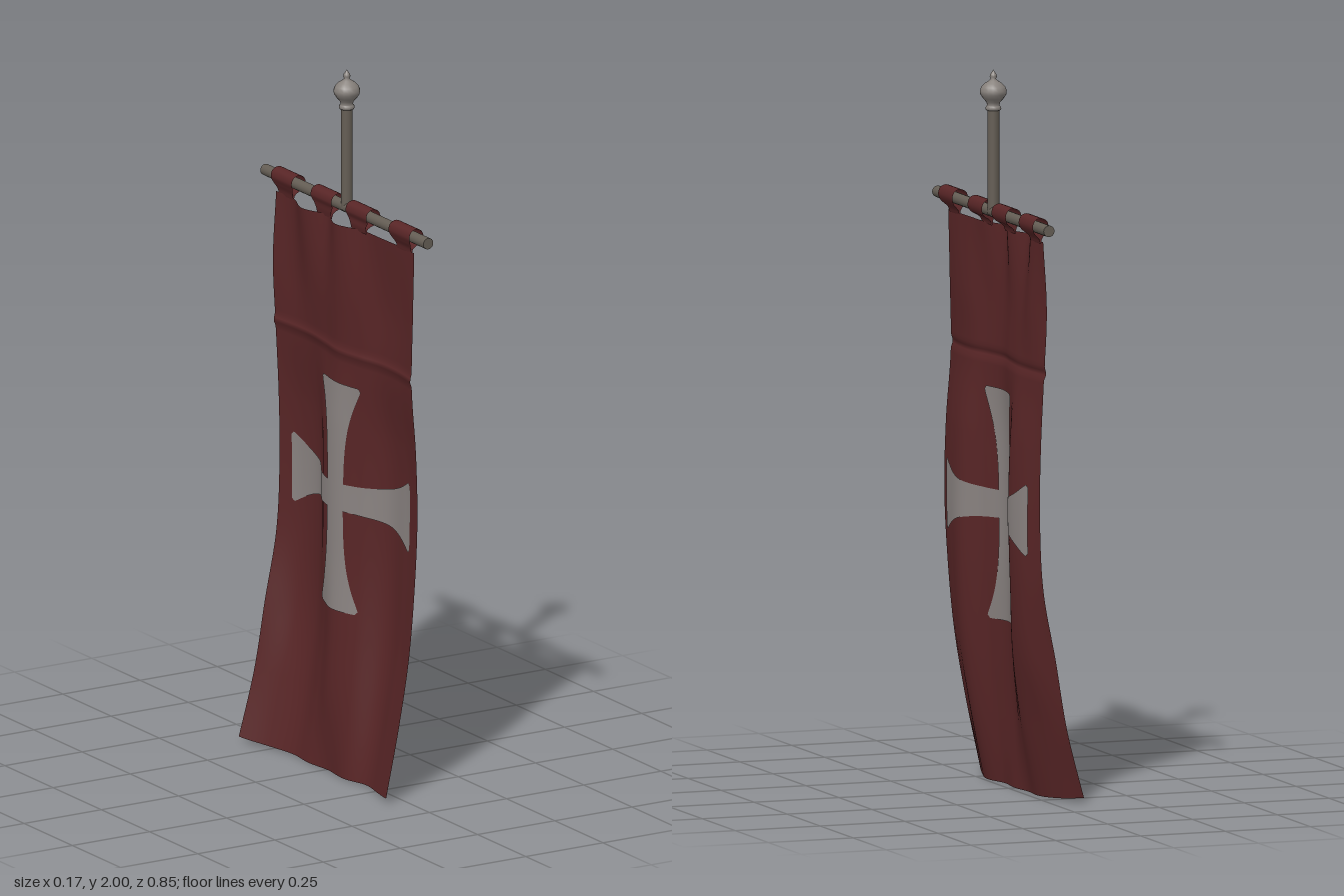
import * as THREE from 'three';
import { ParametricGeometry } from 'three/addons/geometries/ParametricGeometry.js';

const ROD_X = 0.045, ROD_Y = 1.607;

// Depth of the cloth folds: rows run from hem to top, columns from -z to +z
const FOLDS = [
  [-0.085, -0.045, -0.022, -0.028, -0.020, -0.028, -0.010, -0.030, -0.058],
  [-0.037, 0.000, 0.020, 0.000, -0.022, -0.010, 0.030, 0.010, -0.015],
  [-0.005, 0.045, 0.050, 0.020, -0.010, 0.010, 0.058, 0.045, 0.020],
  [0.030, 0.065, 0.060, 0.020, 0.000, 0.025, 0.070, 0.060, 0.040],
  [0.040, 0.068, 0.065, 0.020, 0.003, 0.030, 0.070, 0.066, 0.050],
  [0.038, 0.060, 0.060, 0.022, 0.006, 0.030, 0.064, 0.062, 0.045],
  [0.030, 0.038, 0.040, 0.028, 0.015, 0.025, 0.042, 0.042, 0.030],
  [0.022, 0.038, 0.025, 0.022, 0.010, 0.022, 0.045, 0.045, 0.032],
  [0.033, 0.035, 0.006, 0.033, 0.003, 0.032, 0.036, 0.038, 0.036],
];
const Y0 = 0.012, Y1 = 1.566, Z0 = -0.347, Z1 = 0.364;

// Smooth interpolation through evenly spaced values
function spline(values, t) {
  const n = values.length - 1;
  const f = THREE.MathUtils.clamp(t, 0, 1) * n;
  const i = Math.min(Math.floor(f), n - 1), k = f - i;
  const b = values[i], c = values[i + 1];
  const a = i > 0 ? values[i - 1] : 2 * b - c;
  const d = i < n - 1 ? values[i + 2] : 2 * c - b;
  return b + 0.5 * k * (c - a + k * (2 * a - 5 * b + 4 * c - d + k * (3 * (b - c) + d - a)));
}

function clothX(y, z) {
  const u = (z - Z0) / (Z1 - Z0), v = (y - Y0) / (Y1 - Y0);
  const seam = 0.006 * Math.exp(-(((y - 1.2) / 0.012) ** 2));
  return spline(FOLDS.map((row) => spline(row, u)), v) - seam;
}

export function createModel() {
  const model = new THREE.Group();
  model.name = 'hangingBanner';
  const material = (name, color, side = THREE.FrontSide) => {
    const m = new THREE.MeshStandardMaterial({ color, side });
    m.name = name;
    return m;
  };
  const red = material('darkRedCloth', 0x582526, THREE.DoubleSide);
  const grey = material('paleGreyCloth', 0x8a8381, THREE.DoubleSide);
  const wood = material('greyBrownPole', 0x645d54);
  const metal = material('paleMetal', 0x86807b);

  const add = (name, geometry, mat, parent = model) => {
    const mesh = new THREE.Mesh(geometry, mat);
    mesh.name = name;
    parent.add(mesh);
    return mesh;
  };

  // Folded cloth with a gently curved hem
  add('bannerCloth', new ParametricGeometry((u, v, p) => {
    const y = Y0 + v * (Y1 - Y0);
    const z = Z0 + u * (Z1 - Z0);
    const edge = (2 * u - 1) ** 4 * (1 - v) ** 6;
    const waist = (2 * u - 1) * (0.005 * (1 - v) ** 8 - 0.006 * Math.sin(v * Math.PI) ** 2);
    p.set(clothX(y, z), y - 0.008 * (1 - v) ** 6 + 0.016 * edge, z + waist);
  }, 72, 130), red);

  // Flared cross following the folds, on both faces of the cloth
  const CY = 0.788, CZ = 0.003;
  const flare = [0.038, 0.039, 0.041, 0.046, 0.056, 0.074, 0.1];
  const halfWidth = (t) => (t > 0.97 ? 0.1 - (t - 0.97) * 0.3 : spline(flare, t / 0.97));
  const cross = new THREE.Group();
  cross.name = 'crossEmblem';
  model.add(cross);
  const strip = (name, from, to, length, upright, offset) => {
    add(name, new ParametricGeometry((u, v, p) => {
      const t = from + v * (to - from);
      const along = t * length, across = (2 * u - 1) * halfWidth(Math.abs(t));
      const y = CY + (upright ? along : across);
      const z = CZ + (upright ? across : along);
      p.set(clothX(y, z) + offset, y, z);
    }, 16, 70), grey, cross);
  };
  for (const offset of [-0.003, 0.003]) {
    strip('crossUpright', -1, 1, 0.323, true, offset);
    strip('crossArmLeftward', 0.1, 1, 0.302, false, offset);
    strip('crossArmRightward', -0.1, -1, 0.302, false, offset);
  }

  // Cloth tabs looped over the rod
  for (const z of [0.31, 0.087, -0.094, -0.3]) {
    const neck = clothX(Y1, z);
    const loop = new THREE.CatmullRomCurve3([
      [neck, 1.56], [neck + 0.006, 1.575], [0.06, 1.592], [0.066, 1.61], [0.059, 1.628],
      [0.043, 1.634], [0.026, 1.627], [0.02, 1.61], [0.026, 1.592], [neck - 0.003, 1.575], [neck, 1.56],
    ].map(([x, y]) => new THREE.Vector3(x, y, 0)));
    add('hangingTab', new ParametricGeometry((u, v, p) => {
      loop.getPoint(v, p);
      const grip = THREE.MathUtils.smoothstep(p.y, 1.572, 1.603);
      p.z = z + (2 * u - 1) * (0.038 + 0.016 * grip);
    }, 6, 40), red);
  }

  // Crossbar
  const rod = add('crossbar', new THREE.CylinderGeometry(0.016, 0.016, 0.845, 16), wood);
  rod.rotation.x = Math.PI / 2;
  rod.position.set(ROD_X, ROD_Y, 0);

  // Upright pole
  const pole = add('pole', new THREE.CylinderGeometry(0.0165, 0.0165, 0.3, 16), wood);
  pole.position.set(ROD_X, 1.75, 0);

  // Turned finial with collar, bulb and spike
  const profile = [
    [0, 1.888], [0.02, 1.888], [0.022, 1.893], [0.02, 1.899], [0.017, 1.901], [0.019, 1.91],
    [0.028, 1.92], [0.036, 1.932], [0.037, 1.942], [0.033, 1.953], [0.023, 1.963], [0.012, 1.97],
    [0.007, 1.975], [0.01, 1.981], [0.009, 1.987], [0.004, 1.994], [0, 2],
  ].map(([x, y]) => new THREE.Vector2(x, y));
  const finial = add('finial', new THREE.LatheGeometry(profile, 16), metal);
  finial.position.x = ROD_X;

  return model;
}
